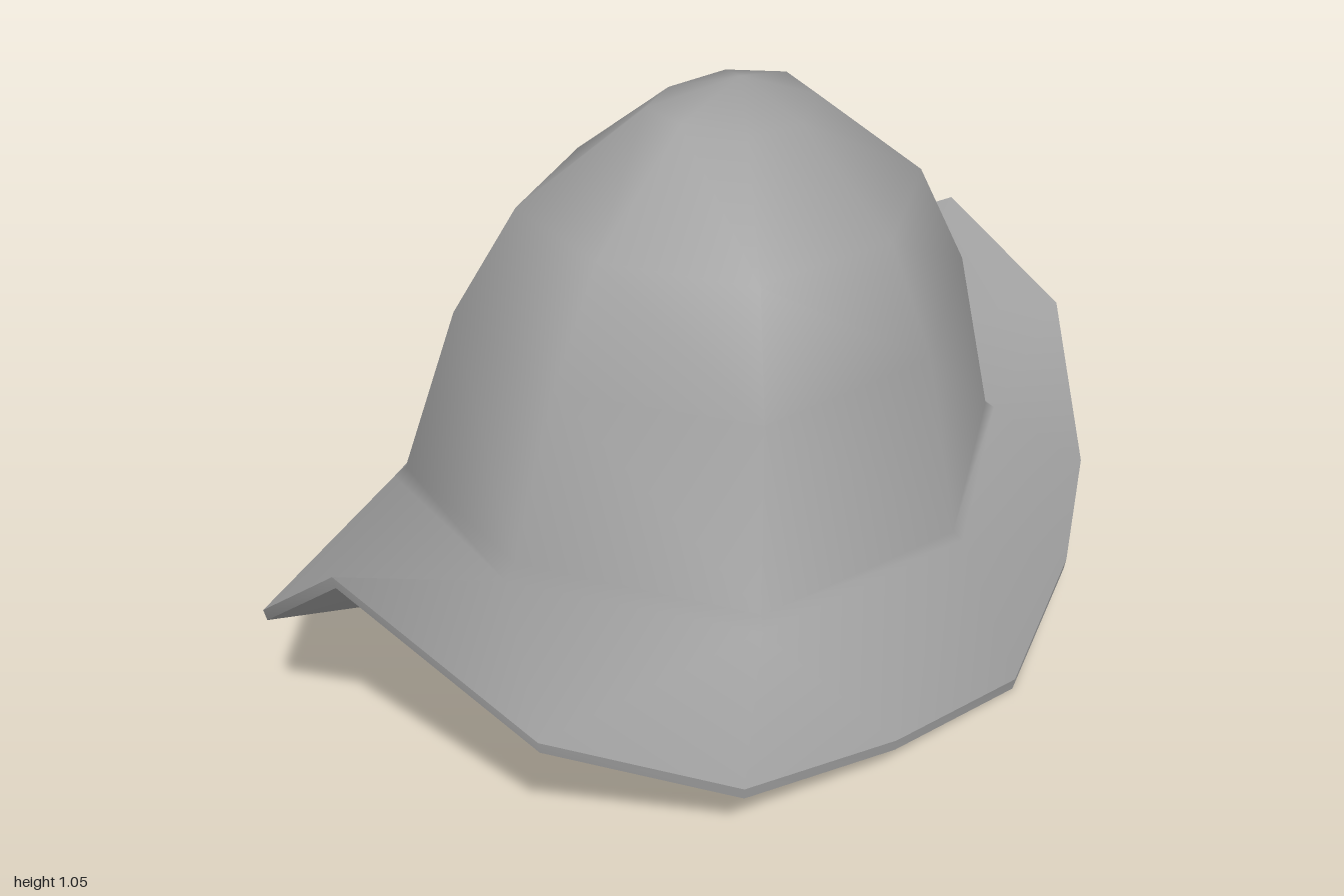
import * as THREE from 'three';

// Right half of an eight-sided crown ring, mirrored to a full loop (front, +x, back, -x)
function mirrorLoop(half) {
  const other = half.slice(1, -1).reverse().map(([x, y, z]) => [-x, y, z]);
  return half.concat(other);
}

function crownRing(x, y, z, zFront, yFront, zBack, yBack) {
  return mirrorLoop([
    [0, yFront, zFront],
    [x * 0.755, (y + yFront) / 2, z + (zFront - z) * 0.73],
    [x, y, z],
    [x * 0.695, (y + yBack) / 2, z + (zBack - z) * 0.7],
    [0, yBack, zBack],
  ]);
}

// Sixteen-point edge of the brim, peaked at front and back
const rim = mirrorLoop([
  [0, 0.635, 1], [0.293, 0.37, 0.89], [0.5, 0.172, 0.62],
  [0.615, 0.105, 0.31], [0.675, 0.025, -0.04], [0.615, 0.067, -0.38],
  [0.5, 0.087, -0.69], [0.293, 0.275, -0.965], [0, 0.44, -1],
]);

// Rings from the brim root up to the crown top
const rings = [
  crownRing(0.545, 0.293, -0.04, 0.605, 0.375, -0.69, 0.268),
  crownRing(0.525, 0.305, -0.04, 0.58, 0.4, -0.67, 0.285),
  crownRing(0.445, 0.64, -0.06, 0.455, 0.68, -0.6, 0.62),
  crownRing(0.345, 0.832, -0.08, 0.325, 0.872, -0.505, 0.82),
  crownRing(0.145, 1.0, -0.1, 0.07, 1.027, -0.275, 1.003),
];
const apex = [0, 1.05, -0.12];

function makeGeometry(points, index) {
  const g = new THREE.BufferGeometry();
  g.setAttribute('position', new THREE.Float32BufferAttribute(points.flat(), 3));
  g.setIndex(index);
  g.computeVertexNormals();
  return g;
}

// Continuous brim and dome surface; flip turns it to face inwards
function shell(edge, loops, top, flip) {
  const points = [...edge, ...loops.flat(), top];
  const index = [];
  const face = (a, b, c) => (flip ? index.push(a, c, b) : index.push(a, b, c));
  const id = (r, i) => 16 + r * 8 + (i % 8);
  for (let i = 0; i < 8; i++) {
    const o = 2 * i;
    face(o, o + 1, id(0, i));
    face(id(0, i), o + 1, id(0, i + 1));
    face(o + 1, (o + 2) % 16, id(0, i + 1));
    for (let r = 0; r < loops.length - 1; r++) {
      face(id(r, i), id(r, i + 1), id(r + 1, i));
      face(id(r, i + 1), id(r + 1, i + 1), id(r + 1, i));
    }
    const last = loops.length - 1;
    face(id(last, i), id(last, i + 1), points.length - 1);
  }
  return makeGeometry(points, index);
}

export function createModel() {
  const group = new THREE.Group();
  group.name = 'helmet';
  const steel = new THREE.MeshStandardMaterial({ color: 0xa0a0a0 });
  steel.name = 'grey steel';
  const add = (name, geometry) => {
    const mesh = new THREE.Mesh(geometry, steel);
    mesh.name = name;
    group.add(mesh);
  };

  // Lining lies just below the outer surface
  const inset = (s) => ([x, y, z]) => [x * s, y - 0.024, (z + 0.06) * s - 0.06];
  const innerRim = rim.map(inset(0.995));
  const innerRings = rings.map((ring) => ring.map(inset(0.965)));

  add('outerShell', shell(rim, rings, apex, false));
  add('innerShell', shell(innerRim, innerRings, inset(1)(apex), true));

  // Thin strip closing the brim edge
  const strip = [];
  for (let i = 0; i < 16; i++) {
    const j = (i + 1) % 16;
    strip.push(i + 16, j + 16, i, j + 16, j, i);
  }
  add('brimEdge', makeGeometry([...rim, ...innerRim], strip));

  return group;
}
